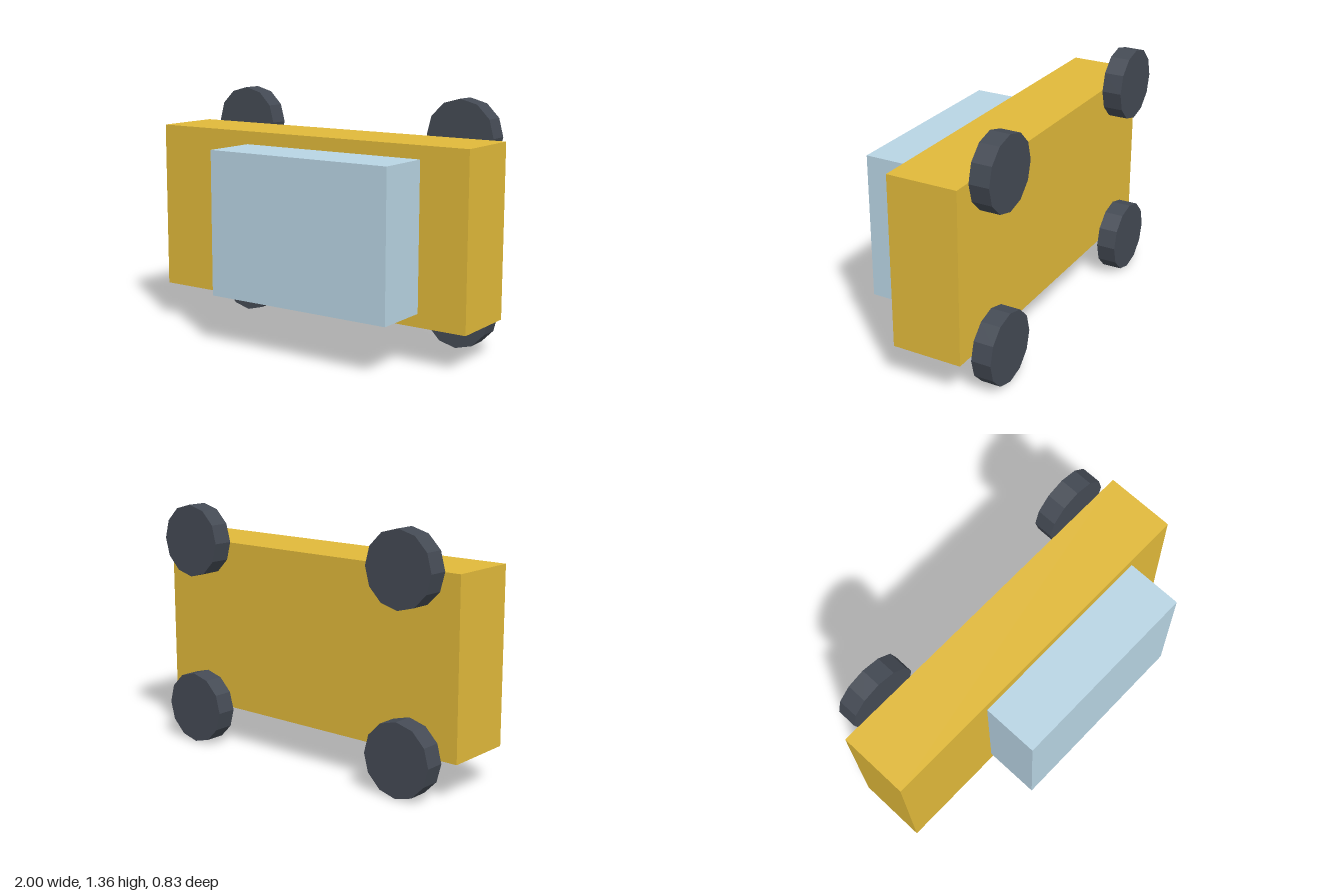
import * as THREE from 'three';

export function createModel() {
  const group = new THREE.Group();
  const paint = (color) => new THREE.MeshStandardMaterial({ color, flatShading: true });
  const yellow = paint(0xe0b93a);
  const paleBlue = paint(0xb8d4e3);
  const rubber = paint(0x444a54);

  function add(name, geometry, material, x, y, z) {
    const mesh = new THREE.Mesh(geometry, material);
    mesh.name = name;
    mesh.position.set(x, y, z);
    group.add(mesh);
  }

  // Long slab body, with the cabin block set off-centre on its front face
  add('body', new THREE.BoxGeometry(2, 0.945, 0.39), yellow, 0, 0.68, -0.095);
  add('cabin', new THREE.BoxGeometry(1.11, 0.8, 0.315), paleBlue, 0.165, 0.68, 0.2575);

  // Four twelve-sided wheels, floating just behind the body, axles along z
  const wheel = new THREE.CylinderGeometry(0.2, 0.2, 0.11, 12).rotateX(Math.PI / 2);
  for (const [side, x] of [['left', 0.72], ['right', -0.72]]) {
    for (const [level, y] of [['Lower', 0.2], ['Upper', 1.158]]) {
      add(`${side}${level}Wheel`, wheel, rubber, x, y, -0.36);
    }
  }

  return group;
}
